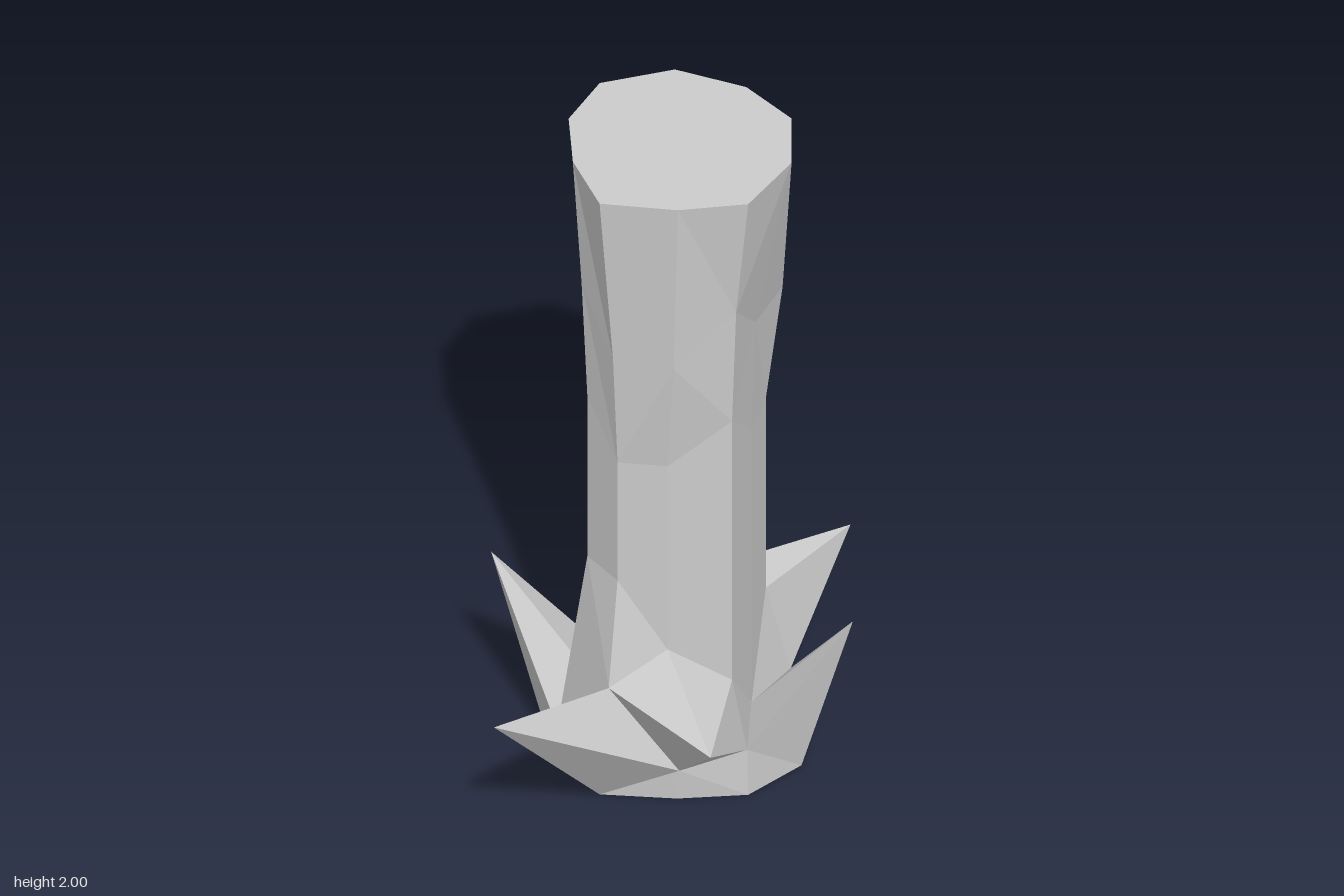
import * as THREE from 'three';

const material = new THREE.MeshStandardMaterial({ color: 0xcccccc, flatShading: true });

// One faceted mesh from a list of corner triples
function facets(name, triangles) {
  const geometry = new THREE.BufferGeometry();
  geometry.setAttribute('position', new THREE.Float32BufferAttribute(triangles.flat(2), 3));
  geometry.computeVertexNormals();
  const mesh = new THREE.Mesh(geometry, material);
  mesh.name = name;
  return mesh;
}

// Triangles from one point to each side of a loop
function fan(tip, loop, closed = true) {
  const out = [];
  const n = closed ? loop.length : loop.length - 1;
  for (let i = 0; i < n; i++) out.push([tip, loop[i], loop[(i + 1) % loop.length]]);
  return out;
}

// Ten-cornered plan outlines [x, z], starting at the back and turning by way of +x;
// the narrow one is nearly a hexagon
const wide = [[.097, -.32], [.3, -.25], [.41, -.07], [.425, .12], [.305, .285],
  [.097, .37], [-.075, .28], [-.23, .13], [-.175, -.07], [-.068, -.237]];
const narrow = [[.097, -.23], [.255, -.185], [.315, -.05], [.345, .11], [.235, .195],
  [.097, .295], [-.055, .205], [-.155, .11], [-.155, -.03], [-.035, -.14]];

// A trunk ring: blend from narrow to wide and height, each per corner
function ring(blends, heights) {
  return narrow.map(([x, z], i) => [
    x + (wide[i][0] - x) * blends[i],
    heights[i],
    z + (wide[i][1] - z) * blends[i],
  ]);
}

export function createModel() {
  const group = new THREE.Group();
  group.name = 'spikedColumn';

  // Trunk rings, from the ragged collar behind the spikes to the flat top
  const zeros = Array(10).fill(0);
  const collar = ring(zeros, [.68, .3, .44, .44, .15, .345, .46, .68, .68, .12]);
  const rings = [
    collar,
    ring(zeros, [1.08, 1.22, 1.08, 1.08, 1.08, 1.22, 1.08, 1.08, 1.22, 1.08]),
    ring([.25, .5, .5, .65, .1, .25, .6, .25, .4, .3],
      [1.44, 1.6, 1.44, 1.44, 1.44, 1.6, 1.44, 1.44, 1.6, 1.44]),
    ring(Array(10).fill(1), Array(10).fill(2)),
  ];
  const trunk = [];
  for (let r = 0; r < rings.length - 1; r++) {
    const low = rings[r], high = rings[r + 1];
    for (let i = 0; i < 10; i++) {
      const j = (i + 1) % 10;
      if (i % 2) trunk.push([low[j], low[i], high[j]], [low[i], high[i], high[j]]);
      else trunk.push([low[j], low[i], high[i]], [low[j], high[i], high[j]]);
    }
  }
  group.add(facets('trunk', trunk));
  group.add(facets('topCap', fan([.1, 2, .03], [...rings[3]].reverse())));

  // Corners of the foot, on the ground
  const foot = {
    back: [.08, 0, -.315], backLeft: [.3, 0, -.25], leftRear: [.425, 0, -.07],
    left: [.425, 0, .12], frontLeft: [.295, 0, .345], front: [.097, 0, .37],
    frontRight: [-.07, 0, .27], right: [-.23, 0, .13], backRight: [-.146, 0, -.255],
  };
  // Hollows between the spikes, just above the ground
  const hollow = {
    back: [.097, .1, -.3], left: [.33, .1, -.04], frontLeft: [.415, .15, .13],
    front: [.097, .15, .365], frontRight: [-.07, .1, .28], right: [-.222, .1, -.078],
  };
  // Saddles where two neighbouring spikes meet
  const saddleLeft = [.36, .36, -.135], saddleRight = [-.21, .36, .145];

  group.add(facets('bottomCap', fan([.1, 0, .03], Object.values(foot))));
  group.add(facets('footSkirt', [
    [foot.leftRear, foot.backLeft, hollow.left],
    [foot.left, foot.leftRear, hollow.left],
    [foot.left, hollow.left, hollow.frontLeft],
    [foot.frontLeft, foot.left, hollow.frontLeft],
    [foot.front, foot.frontLeft, hollow.front],
    [foot.front, hollow.front, hollow.frontRight],
    [foot.frontRight, foot.front, hollow.frontRight],
    [foot.right, foot.frontRight, hollow.frontRight],
    [foot.backRight, foot.right, hollow.right],
    [foot.back, foot.backRight, hollow.back],
    [foot.backLeft, foot.back, hollow.back],
  ]));

  // Faces joining the spike roots to the trunk
  group.add(facets('rootFacets', [
    ...fan(saddleRight, [collar[6], collar[7], collar[8], hollow.right], false),
    ...fan(hollow.back, [collar[9], collar[0], collar[1]], false),
    [saddleLeft, collar[1], collar[2]],
    [hollow.frontLeft, collar[3], collar[4]],
    [hollow.front, collar[4], collar[5]],
    [hollow.right, collar[8], collar[9]],
  ]));

  // Spikes: tip and the loop of root corners
  const spikes = {
    backLeftSpike: [[.568, .665, -.535],
      [foot.backLeft, hollow.back, collar[1], saddleLeft, hollow.left]],
    leftSpike: [[.667, .485, .06],
      [hollow.frontLeft, hollow.left, saddleLeft, collar[2], collar[3]]],
    frontLeftSpike: [[.41, .485, .425],
      [foot.frontLeft, hollow.frontLeft, collar[4], hollow.front]],
    frontSpike: [[-.15, .33, .535],
      [hollow.frontRight, hollow.front, collar[5], collar[6], saddleRight]],
    rightSpike: [[-.67, .485, .245],
      [foot.right, hollow.frontRight, saddleRight, hollow.right]],
    backRightSpike: [[-.2, .485, -.415],
      [foot.backRight, hollow.right, collar[9], hollow.back]],
  };
  for (const [name, [tip, loop]] of Object.entries(spikes)) group.add(facets(name, fan(tip, loop)));

  return group;
}
